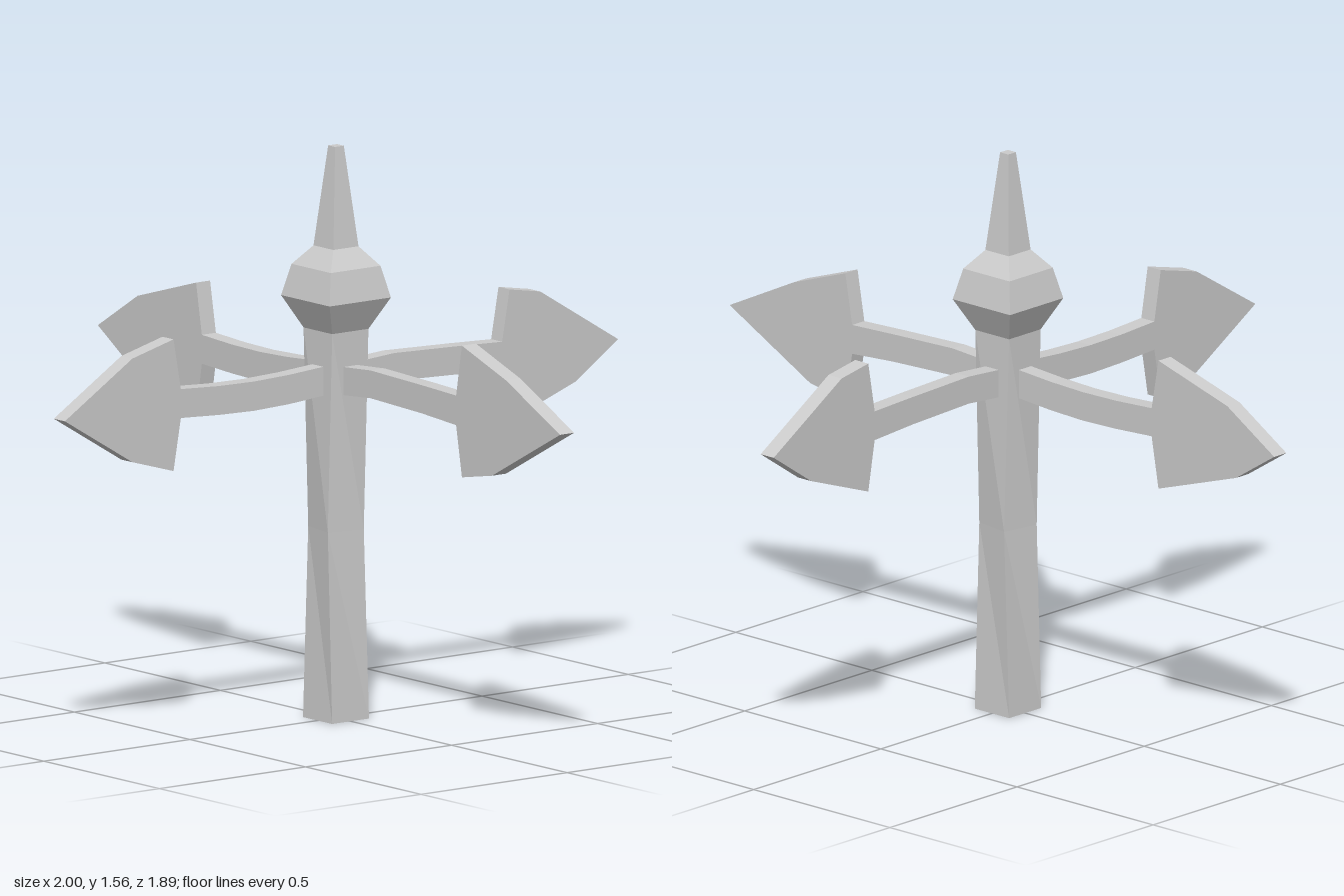
import * as THREE from 'three';

const material = new THREE.MeshStandardMaterial({
  color: 0xcccccc, flatShading: true, side: THREE.DoubleSide,
});

// Square-section turned part; profile is [halfWidth, y] from bottom to top
function squareLathe(profile) {
  const points = profile.map(([h, y]) => new THREE.Vector2(h * Math.SQRT2, y));
  return new THREE.LatheGeometry(points, 4, Math.PI / 4);
}

function addMesh(parent, name, geometry) {
  const mesh = new THREE.Mesh(geometry, material);
  mesh.name = name;
  parent.add(mesh);
  return mesh;
}

// Arrow outlines: [distance from the post, height]
const shaftUp = {
  top: [[0.05, 0.97], [0.18, 0.979], [0.4, 0.972], [0.55, 0.966]],
  bottom: [[0.55, 0.885], [0.4, 0.895], [0.18, 0.903], [0.05, 0.893]],
};
const shaftDown = {
  top: [[0.05, 0.971], [0.18, 0.962], [0.3, 0.958], [0.42, 0.96], [0.55, 0.967]],
  bottom: [[0.55, 0.888], [0.42, 0.881], [0.3, 0.878], [0.18, 0.882], [0.05, 0.892]],
};
const arrows = [
  { name: 'leftArrow', turn: 0, shaft: shaftUp, upper: [0.765, 1.04], tip: [1, 0.926], lower: [0.705, 0.77] },
  { name: 'rightArrow', turn: Math.PI, shaft: shaftDown, upper: [0.828, 1.032], tip: [1, 0.926], lower: [0.86, 0.837] },
  { name: 'frontArrow', turn: -Math.PI / 2, shaft: shaftDown, upper: [0.716, 1.07], tip: [0.947, 0.926], lower: [0.716, 0.787] },
  { name: 'backArrow', turn: Math.PI / 2, shaft: shaftUp, upper: [0.68, 1.088], tip: [0.947, 0.926], lower: [0.8, 0.827] },
];
const THICKNESS = 0.048;

function arrowGeometry({ shaft, upper, tip, lower }) {
  const outline = [
    ...shaft.top, [0.575, 1.106], upper, tip, lower, [0.575, 0.746], ...shaft.bottom,
  ];
  const shape = new THREE.Shape(outline.map(([d, y]) => new THREE.Vector2(d, y)));
  const geometry = new THREE.ExtrudeGeometry(shape, { depth: THICKNESS, bevelEnabled: false });
  return geometry.translate(0, 0, -THICKNESS / 2);
}

export function createModel() {
  const model = new THREE.Group();
  model.name = 'signpost';

  // Post, open underneath, with its middle ring twisted slightly
  const post = squareLathe([[0.063, 0], [0.055, 0.52], [0.062, 1.065]]);
  const position = post.attributes.position;
  const v = new THREE.Vector3();
  const up = new THREE.Vector3(0, 1, 0);
  for (let i = 0; i < position.count; i++) {
    v.fromBufferAttribute(position, i);
    if (Math.abs(v.y - 0.52) < 0.01) {
      v.applyAxisAngle(up, -0.17);
      position.setXYZ(i, v.x, v.y, v.z);
    }
  }
  addMesh(model, 'post', post);

  // Flared cap and tapering spire
  addMesh(model, 'finial', squareLathe([
    [0.062, 1.065], [0.105, 1.152], [0.085, 1.238], [0.043, 1.29], [0.015, 1.564], [0, 1.564],
  ]));

  // Four arrow boards around the post
  for (const arrow of arrows) {
    addMesh(model, arrow.name, arrowGeometry(arrow)).rotation.y = arrow.turn;
  }
  return model;
}
